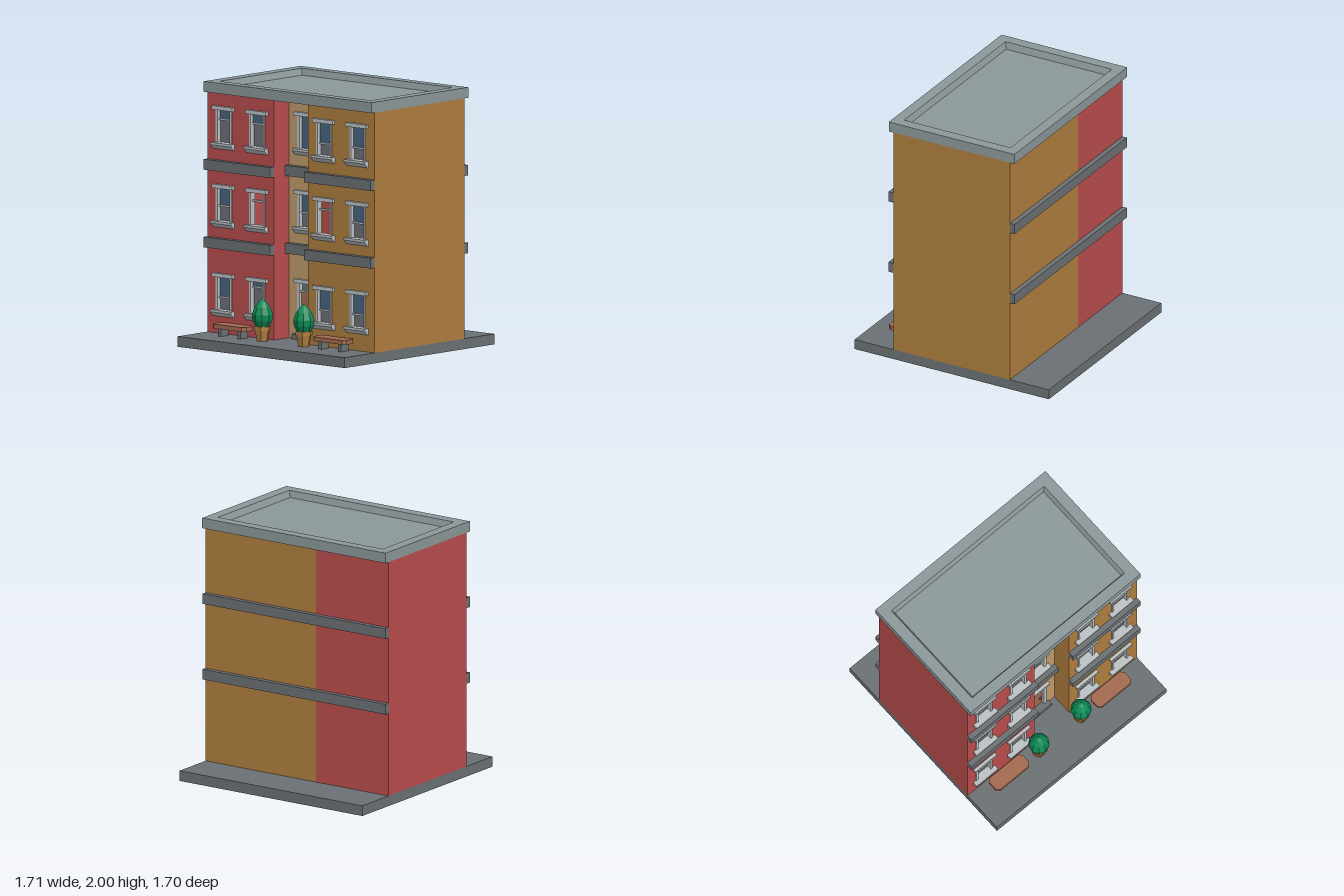
import * as THREE from 'three';

const mat = (name, color, extra = {}) => {
  const m = new THREE.MeshStandardMaterial({ color, ...extra });
  m.name = name;
  return m;
};

export function createModel() {
  const both = { side: THREE.DoubleSide };
  const red = mat('red wall', 0xb94c4c, both);
  const ochre = mat('ochre wall', 0xae7d3e, both);
  const tan = mat('tan wall', 0xbf9a6b, both);
  const trim = mat('pale trim', 0xbcc1c4);
  const stone = mat('roof grey', 0x8b9799);
  const dark = mat('dark grey', 0x6a7073, both);
  const glass = mat('blue glass', 0x48637d, both);
  const green = mat('leaf green', 0x0c8a56, { flatShading: true });
  const wood = mat('wood brown', 0xa3684f);
  const knobMat = mat('knob brown', 0x6b3a22);

  const model = new THREE.Group();
  model.name = 'townhouses';

  const add = (parent, name, geometry, material, x = 0, y = 0, z = 0) => {
    const mesh = new THREE.Mesh(geometry, material);
    mesh.name = name;
    mesh.position.set(x, y, z);
    parent.add(mesh);
    return mesh;
  };
  // box given by its min and max on each axis
  const box = (parent, name, material, x0, x1, y0, y1, z0, z1) =>
    add(parent, name, new THREE.BoxGeometry(x1 - x0, y1 - y0, z1 - z0), material,
      (x0 + x1) / 2, (y0 + y1) / 2, (z0 + z1) / 2);
  const rectPath = (path, x0, x1, y0, y1) => {
    path.moveTo(x0, y0);
    path.lineTo(x1, y0);
    path.lineTo(x1, y1);
    path.lineTo(x0, y1);
    path.closePath();
    return path;
  };
  // thin wall facing +z, with rectangular holes
  const panel = (name, material, x0, x1, y0, y1, z, holes = []) => {
    const shape = rectPath(new THREE.Shape(), x0, x1, y0, y1);
    holes.forEach((h) => shape.holes.push(rectPath(new THREE.Path(), ...h)));
    return add(model, name, new THREE.ShapeGeometry(shape), material, 0, 0, z);
  };
  // stacked rectangles [halfX, halfZ, y], joined and capped
  const loftRectangles = (rings) => {
    const pts = rings.map(([x, z, y]) => [[x, y, z], [x, y, -z], [-x, y, -z], [-x, y, z]]);
    const pos = [];
    const quad = (a, b, c, d) => pos.push(...a, ...b, ...c, ...a, ...c, ...d);
    for (let i = 0; i + 1 < pts.length; i++) {
      for (let k = 0; k < 4; k++) {
        const n = (k + 1) % 4;
        quad(pts[i][k], pts[i][n], pts[i + 1][n], pts[i + 1][k]);
      }
    }
    quad(...pts[pts.length - 1]);
    quad(...pts[0].slice().reverse());
    const g = new THREE.BufferGeometry();
    g.setAttribute('position', new THREE.Float32BufferAttribute(pos, 3));
    g.computeVertexNormals();
    return g;
  };

  // main dimensions
  const W = 0.85, Z = 0.51, ZM = 0.34, L = -0.175, R = 0.17, Y0 = 0.08, Y1 = 1.925;
  const columns = [-0.683, -0.343, 0, 0.338, 0.678];
  const floors = [0.21, 0.89, 1.49];
  // height of the sash bar above the sill base; 0 means one full pane
  const bars = [
    [0.145, 0.255, null, 0.145, 0.145],
    [0.165, 0.235, 0.16, 0.235, 0.165],
    [0.226, 0.226, 0, 0.14, 0.14],
  ];
  const unglazed = (floor, col) => floor === 1 && (col === 1 || col === 3);

  // paving slab and roof with sunken top
  box(model, 'pavingSlab', dark, -W, W, 0, Y0, -W, W);
  add(model, 'roof', loftRectangles([
    [0.853, 0.55, 1.92], [0.853, 0.55, 2], [0.766, 0.465, 2], [0.745, 0.447, 1.95],
  ]), stone);

  // hollow walls, the middle front set back
  const holesFor = (cols) => cols.flatMap((c) => floors.map((b, f) => [
    columns[c] - 0.07, columns[c] + 0.07, c === 2 && f === 0 ? 0.1 : b + 0.03, b + 0.31]));
  panel('leftFrontWall', red, -W, L, Y0, Y1, Z, holesFor([0, 1]));
  panel('middleFrontWall', tan, L, R, Y0, Y1, ZM, holesFor([2]));
  panel('rightFrontWall', ochre, R, W, Y0, Y1, Z, holesFor([3, 4]));
  panel('redBackWall', red, -W, L, Y0, Y1, -Z).geometry.scale(1, 1, 1);
  panel('ochreBackWall', ochre, L, W, Y0, Y1, -Z);
  const sideWall = (name, material, x, z0, z1) => {
    const wall = panel(name, material, z0, z1, Y0, Y1, 0);
    wall.rotation.y = -Math.PI / 2;
    wall.position.x = x;
  };
  sideWall('redSideWall', red, -W, -Z, Z);
  sideWall('ochreSideWall', ochre, W, -Z, Z);
  sideWall('redRecessWall', red, L, ZM, Z);
  sideWall('ochreRecessWall', ochre, R, ZM, Z);

  // string courses between the floors
  for (const y of [0.73, 1.325]) {
    box(model, 'leftBand', dark, -W, L, y, y + 0.08, Z, 0.555);
    box(model, 'middleBand', dark, L, R, y, y + 0.08, ZM, ZM + 0.045);
    box(model, 'rightBand', dark, R, W, y, y + 0.08, Z, 0.555);
    box(model, 'backBand', dark, -W, W, y, y + 0.08, -0.55, -Z);
  }

  // sill with a sloped underside, run along x
  const sillShape = new THREE.Shape([[-0.04, 0], [0.006, 0], [0.04, 0.032], [0.04, 0.05], [-0.04, 0.05]]
    .map(([x, y]) => new THREE.Vector2(x, y)));
  const sillGeometry = new THREE.ExtrudeGeometry(sillShape, { depth: 0.214, bevelEnabled: false });
  sillGeometry.translate(0, 0, -0.107).rotateY(-Math.PI / 2);

  const frame = (group, bottom, hw) => {
    box(group, 'lintel', trim, -0.106, 0.106, 0.3, 0.33, -0.04, 0.024);
    for (const s of [-1, 1]) {
      const a = s * 0.062, b = s * hw;
      box(group, 'jamb', trim, Math.min(a, b), Math.max(a, b), bottom, 0.3, -0.04, 0.006);
    }
  };
  const pane = (group, name, material, y0, y1, z) =>
    add(group, name, new THREE.PlaneGeometry(0.126, y1 - y0), material, 0, (y0 + y1) / 2, z);

  floors.forEach((base, f) => columns.forEach((x, c) => {
    const group = new THREE.Group();
    group.position.set(x, base, c === 2 ? ZM : Z);
    model.add(group);
    const bar = bars[f][c];
    if (bar === null) {
      // entrance door
      group.name = 'entrance';
      frame(group, -0.09, 0.088);
      box(group, 'doorLeaf', wood, -0.063, 0.063, -0.09, 0.228, -0.035, -0.02);
      box(group, 'transomBar', trim, -0.063, 0.063, 0.228, 0.242, -0.035, -0.005);
      pane(group, 'transomPane', dark, 0.242, 0.3, -0.03);
      add(group, 'doorKnob', new THREE.SphereGeometry(0.012, 10, 8), knobMat, 0.04, 0.035, -0.012);
      box(group, 'doorStep', dark, -0.11, 0.11, -0.13, -0.09, -0.04, 0.04);
      return;
    }
    group.name = 'window';
    frame(group, 0.05, c === 2 ? 0.088 : 0.08);
    add(group, 'sill', sillGeometry, trim);
    if (bar) box(group, 'sashBar', trim, -0.063, 0.063, bar - 0.007, bar + 0.007, -0.035, -0.012);
    if (unglazed(f, c)) return;
    pane(group, 'upperPane', glass, bar || 0.05, 0.3, -0.022);
    if (bar) pane(group, 'lowerPane', dark, 0.05, bar, -0.03);
  }));

  // benches with clipped corners, potted shrubs
  const bx = 0.168, bz = 0.062, cut = 0.025;
  const seatShape = new THREE.Shape([
    [-bx + cut, -bz], [bx - cut, -bz], [bx, -bz + cut], [bx, bz - cut],
    [bx - cut, bz], [-bx + cut, bz], [-bx, bz - cut], [-bx, -bz + cut],
  ].map(([x, y]) => new THREE.Vector2(x, y)));
  const seatGeometry = new THREE.ExtrudeGeometry(seatShape, { depth: 0.033, bevelEnabled: false });
  seatGeometry.rotateX(-Math.PI / 2);
  const potGeometry = new THREE.LatheGeometry([[0, 0], [0.045, 0], [0.06, 0.085], [0.068, 0.085],
    [0.068, 0.115], [0, 0.115]].map(([x, y]) => new THREE.Vector2(x, y)), 6, Math.PI / 6 * 3)
    .toNonIndexed();
  potGeometry.computeVertexNormals();
  const shrubGeometry = new THREE.LatheGeometry([[0, 0], [0.055, 0], [0.077, 0.045], [0.081, 0.09],
    [0.06, 0.145], [0.03, 0.185], [0, 0.21]].map(([x, y]) => new THREE.Vector2(x, y)), 9);

  for (const s of [-1, 1]) {
    const bench = new THREE.Group();
    bench.name = 'bench';
    bench.position.set(s * 0.51, Y0, 0.6);
    model.add(bench);
    add(bench, 'benchSeat', seatGeometry, wood, 0, 0.06, 0);
    for (const t of [-1, 1]) {
      box(bench, 'benchLeg', dark, t * 0.1 - 0.016, t * 0.1 + 0.016, 0, 0.06, -0.042, 0.042);
    }
    const planter = new THREE.Group();
    planter.name = 'planter';
    planter.position.set(s * 0.211, Y0, 0.6);
    model.add(planter);
    add(planter, 'pot', potGeometry, ochre);
    add(planter, 'shrub', shrubGeometry, green, 0, 0.115, 0);
  }
  return model;
}
